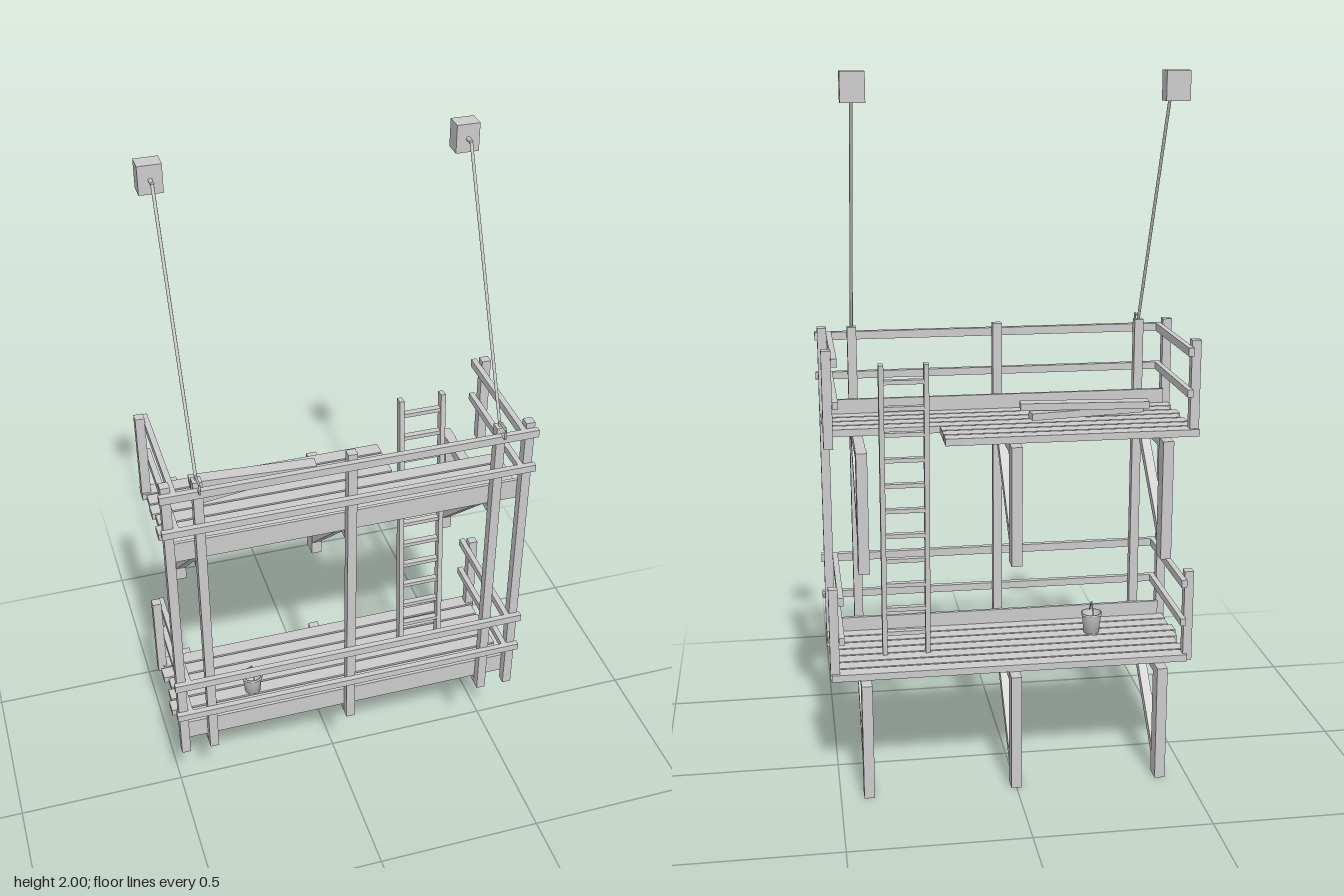
import * as THREE from 'three';

const mat = new THREE.MeshStandardMaterial({ color: 0xcccccc });
const matOpen = new THREE.MeshStandardMaterial({ color: 0xcccccc, side: THREE.DoubleSide });

export function createModel() {
  const root = new THREE.Group();
  root.name = 'hangingScaffold';

  // Box given by its minimum and maximum on each axis
  const box = (name, x0, x1, y0, y1, z0, z1, parent = root) => {
    const m = new THREE.Mesh(new THREE.BoxGeometry(x1 - x0, y1 - y0, z1 - z0), mat);
    m.position.set((x0 + x1) / 2, (y0 + y1) / 2, (z0 + z1) / 2);
    m.name = name;
    parent.add(m);
    return m;
  };

  // Square beam in the y-z plane between two points
  const beam = (name, x, [ya, za], [yb, zb], width, depth, parent = root) => {
    const m = new THREE.Mesh(new THREE.BoxGeometry(width, depth, Math.hypot(yb - ya, zb - za)), mat);
    m.position.set(x, (ya + yb) / 2, (za + zb) / 2);
    m.rotation.x = -Math.atan2(yb - ya, zb - za);
    m.name = name;
    parent.add(m);
    return m;
  };

  // Round rod between two points
  const rod = (name, a, b, r, parent = root) => {
    const p = new THREE.Vector3(...a), q = new THREE.Vector3(...b);
    const m = new THREE.Mesh(new THREE.CylinderGeometry(r, r, p.distanceTo(q), 8), mat);
    m.position.copy(p).add(q).multiplyScalar(0.5);
    m.quaternion.setFromUnitVectors(new THREE.Vector3(0, 1, 0), q.sub(p).normalize());
    m.name = name;
    parent.add(m);
    return m;
  };

  // Uneven plank ends, left and right, for the seven boards
  const leftEnds = [0.518, 0.507, 0.51, 0.502, 0.512, 0.499, 0.51];
  const rightEnds = [0.516, 0.507, 0.512, 0.5, 0.51, 0.507, 0.515];

  // One storey: brackets, deck, toe board and railings above the height y
  const level = (name, y, hatch) => {
    const g = new THREE.Group();
    g.name = name;
    root.add(g);
    for (const x of [-0.42, 0, 0.42]) {
      box('wallPost', x - 0.015, x + 0.015, y - 0.34, y, -0.217, -0.165, g);
      box('bracketArm', x - 0.014, x + 0.014, y - 0.028, y, -0.165, 0.16, g);
      beam('bracketBrace', x, [y - 0.022, 0.108], [y - 0.295, -0.18], 0.026, 0.026, g);
    }
    for (let i = 0; i < 7; i++) {
      const z = -0.154 + i * 0.0479;
      const end = hatch && i < 3 ? 0.19 : rightEnds[hatch ? i : 6 - i];
      const start = leftEnds[hatch ? i : (i + 3) % 7];
      box('deckPlank', -start, end, y, y + 0.02, z - 0.021, z + 0.021, g);
    }
    box('toeBoard', -0.495, 0.495, y, y + 0.062, 0.15, 0.16, g);
    for (const [a, b] of [[0.115, 0.136], [0.23, 0.253]]) {
      box('frontRail', -0.525, 0.525, y + a, y + b, 0.186, 0.203, g);
      for (const s of [-1, 1]) {
        const xs = [0.477 * s, 0.493 * s].sort((p, q) => p - q);
        box('sideRail', xs[0], xs[1], y + a, y + b, -0.187, 0.187, g);
      }
    }
    for (const x of [-0.505, 0.505]) {
      box('backRailPost', x - 0.013, x + 0.013, y, y + 0.27, -0.165, -0.139, g);
    }
  };
  level('lowerLevel', 0.34, false);
  level('upperLevel', 1.01, true);

  // Tall posts along the front
  for (const x of [-0.505, -0.42, 0, 0.42, 0.505]) {
    box('frontPost', x - 0.013, x + 0.013, 0.31, 1.28, 0.16, 0.187);
  }

  // Ladder leaning through the hatch
  const ladder = new THREE.Group();
  ladder.name = 'ladder';
  root.add(ladder);
  const ladderZ = (y) => -0.037 - (y - 0.36) * 0.073;
  for (const x of [0.233, 0.357]) {
    beam('ladderRail', x, [0.36, ladderZ(0.36)], [1.225, ladderZ(1.225)], 0.014, 0.026, ladder);
  }
  for (let i = 0; i < 11; i++) {
    const y = 0.425 + i * 0.075, z = ladderZ(y);
    box('ladderRung', 0.235, 0.355, y - 0.006, y + 0.006, z - 0.009, z + 0.009, ladder);
  }

  // Two loose planks crossed on the upper deck
  const loose = (xa, za, xb, zb, y, w) => {
    const m = new THREE.Mesh(new THREE.BoxGeometry(Math.hypot(xb - xa, zb - za), 0.02, w), mat);
    m.position.set((xa + xb) / 2, y, (za + zb) / 2);
    m.rotation.y = -Math.atan2(zb - za, xb - xa);
    m.name = 'loosePlank';
    root.add(m);
  };
  loose(-0.393, -0.081, -0.033, -0.055, 1.086, 0.04);
  loose(-0.385, -0.031, -0.058, -0.085, 1.063, 0.034);

  // Bucket with wire handle
  const bucket = new THREE.Group();
  bucket.name = 'bucket';
  bucket.position.set(-0.265, 0.36, 0.04);
  root.add(bucket);
  const profile = [[0, 0], [0.023, 0], [0.029, 0.055], [0.032, 0.055], [0.032, 0.061], [0.027, 0.061], [0.021, 0.005], [0, 0.005]];
  const pail = new THREE.Mesh(
    new THREE.LatheGeometry(profile.map((p) => new THREE.Vector2(...p)), 16), matOpen);
  pail.name = 'bucketBody';
  bucket.add(pail);
  for (const s of [-1, 1]) {
    rod('bucketHandle', [0, 0.058, 0.03 * s], [0, 0.082, 0.012 * s], 0.002, bucket);
  }
  rod('bucketGrip', [0, 0.082, -0.012], [0, 0.095, 0], 0.002, bucket);
  rod('bucketGrip', [0, 0.082, 0.012], [0, 0.095, 0], 0.002, bucket);

  // Wall anchors, stay cables and the loops around the top rail
  for (const x of [-0.42, 0.42]) {
    box('anchorBlock', x - 0.032, x + 0.032, 1.922, 2, -0.217, -0.168);
    rod('anchorHook', [x, 1.96, -0.17], [x, 1.96, -0.145], 0.006);
    rod('stayCable', [x, 1.96, -0.145], [x, 1.275, 0.175], 0.0045);
    const loop = [[1.29, 0.168], [1.29, 0.214], [1.262, 0.214], [1.262, 0.19]];
    for (let i = 0; i < 3; i++) {
      rod('cableLoop', [x, ...loop[i]], [x, ...loop[i + 1]], 0.003);
    }
  }
  return root;
}
